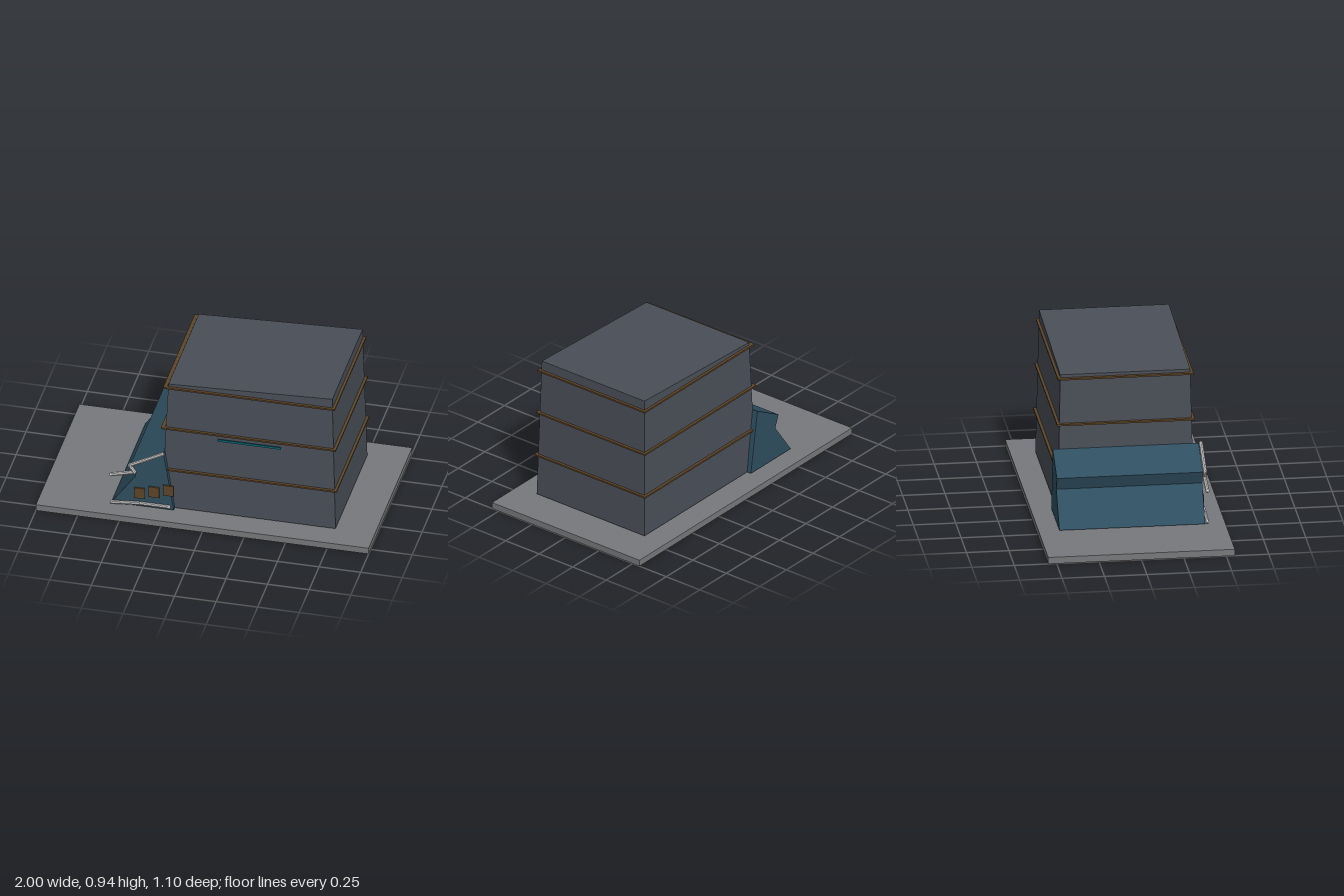
import * as THREE from 'three';

const mat = (color) => new THREE.MeshStandardMaterial({ color, flatShading: true });

export function createModel() {
  const model = new THREE.Group();
  const stone = mat(0x4a4f58), slab = mat(0x77797c), blue = mat(0x2f4f60);
  const bronze = mat(0x5e4628), teal = mat(0x0a6a78), pale = mat(0xdddddd);

  const add = (name, geometry, material, x = 0, y = 0, z = 0, parent = model) => {
    const mesh = new THREE.Mesh(geometry, material);
    mesh.name = name;
    mesh.position.set(x, y, z);
    parent.add(mesh);
    return mesh;
  };
  const box = (name, w, h, d, material, x, y, z, parent) =>
    add(name, new THREE.BoxGeometry(w, h, d), material, x, y, z, parent);

  // Ground slab
  box('base', 2, 0.04, 1.1, slab, 0, 0.02, 0);

  // Tapered tower with a sloping roof
  const towerGeo = new THREE.BoxGeometry(1, 1, 1);
  const p = towerGeo.attributes.position;
  for (let i = 0; i < p.count; i++) {
    const right = p.getX(i) > 0, top = p.getY(i) > 0, s = Math.sign(p.getZ(i));
    if (top) p.setXYZ(i, right ? 0.742 : -0.243, right ? 0.936 : 0.893, s * 0.383);
    else p.setXYZ(i, right ? 0.766 : -0.28, 0.047, s * 0.402);
  }
  towerGeo.computeVertexNormals();
  add('tower', towerGeo, stone);

  // Trim bands: four bars around the tower at each level
  [[0.31, -0.29, 0.775, 0.413], [0.592, -0.283, 0.768, 0.406], [0.872, -0.271, 0.76, 0.4]]
    .forEach(([y, x0, x1, z]) => {
      const band = new THREE.Group();
      band.name = 'trimBand';
      model.add(band);
      const t = 0.022, cx = (x0 + x1) / 2;
      for (const s of [-1, 1]) {
        box('longBar', x1 - x0, 0.01, t, bronze, cx, y, s * (z - t / 2), band);
        box('sideBar', t, 0.01, 2 * (z - t), bronze, cx + s * ((x1 - x0 - t) / 2), y, 0, band);
      }
    });

  // Light strip on the front wall
  box('lightStrip', 0.38, 0.013, 0.007, teal, 0.25, 0.563, 0.41);

  // Notched wedge beside the tower
  const outline = [[-0.575, 0.047], [-0.2, 0.047], [-0.262, 0.438], [-0.46, 0.328], [-0.43, 0.25]];
  const shape = new THREE.Shape(outline.map(([x, y]) => new THREE.Vector2(x, y)));
  add('wedge', new THREE.ExtrudeGeometry(shape, { depth: 0.86, bevelEnabled: false }),
    blue, 0, 0, -0.43);

  // Square panels on the wedge front
  [[-0.404, 0.139], [-0.317, 0.159], [-0.23, 0.182]].forEach(([x, y]) =>
    box('panel', 0.065, 0.07, 0.01, bronze, x, y, 0.435));

  // Pale rails along the wedge edges
  const rail = (name, points, radius) => {
    const path = new THREE.CurvePath();
    const v = points.map(([x, y]) => new THREE.Vector3(x, y, 0.443));
    for (let i = 1; i < v.length; i++) {
      path.add(new THREE.LineCurve3(v[i - 1], v[i]));
      const tube = new THREE.TubeGeometry(path.curves[i - 1], 1, radius, 8);
      add(name, tube, pale);
      for (const q of [v[i - 1], v[i]]) add(name + 'Joint', new THREE.SphereGeometry(radius, 8, 6), pale, q.x, q.y, q.z);
    }
  };
  rail('upperRail', [[-0.265, 0.437], [-0.462, 0.33], [-0.432, 0.287], [-0.572, 0.25]], 0.012);
  rail('lowerRail', [[-0.57, 0.058], [-0.4, 0.074], [-0.225, 0.074]], 0.011);

  return model;
}
